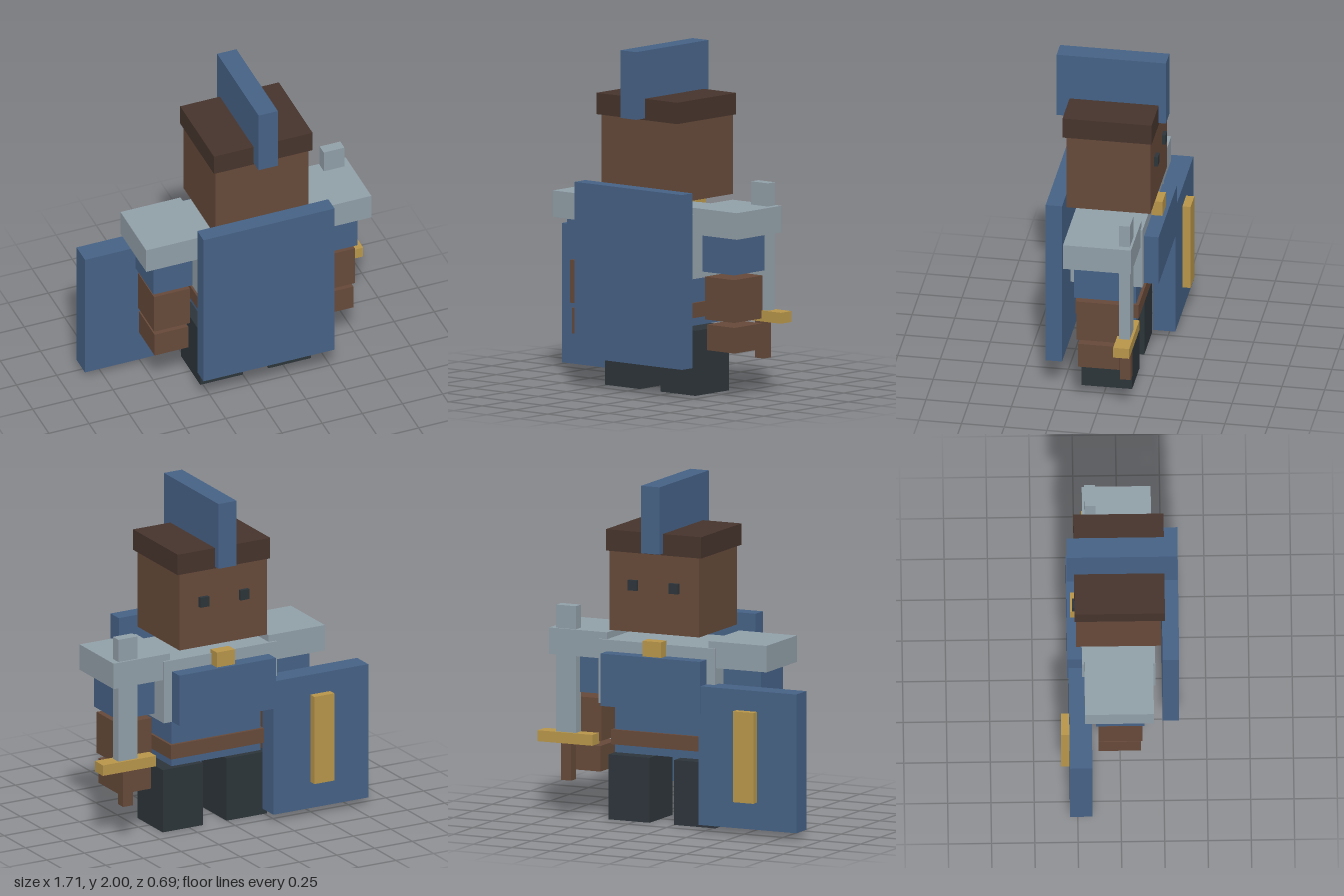
import * as THREE from 'three';

const mat = (name, color) => {
  const m = new THREE.MeshStandardMaterial({ color });
  m.name = name;
  return m;
};

export function createModel() {
  const blue = mat('blue cloth', 0x466286);
  const steel = mat('grey steel', 0x919fa8);
  const brown = mat('brown', 0x664939);
  const darkBrown = mat('dark brown', 0x46342c);
  const dark = mat('charcoal', 0x2d353a);
  const gold = mat('gold', 0xb8964a);

  const model = new THREE.Group();
  model.name = 'blockyKnight';
  const mid = 0.08; // body centreline

  // Box from its x, y and z ranges
  const box = (name, material, [x0, x1], [y0, y1], [z0, z1], parent = model) => {
    const mesh = new THREE.Mesh(new THREE.BoxGeometry(x1 - x0, y1 - y0, z1 - z0), material);
    mesh.position.set((x0 + x1) / 2, (y0 + y1) / 2, (z0 + z1) / 2);
    mesh.name = name;
    parent.add(mesh);
  };
  const group = (name) => {
    const g = new THREE.Group();
    g.name = name;
    model.add(g);
    return g;
  };
  const around = (c, half) => [c - half, c + half];

  // Head, helmet brim and crest
  const head = group('head');
  box('face', brown, around(mid, 0.29), [1.13, 1.6], [-0.25, 0.24], head);
  box('cap', darkBrown, around(mid, 0.307), [1.595, 1.72], [-0.26, 0.262], head);
  box('crest', blue, around(mid, 0.06), [1.605, 2], [-0.302, 0.338], head);
  for (const s of [-1, 1]) {
    box('eye', dark, around(mid + s * 0.133, 0.029), [1.375, 1.435], [-0.272, -0.245], head);
  }

  // Torso, armour and cape
  const torso = group('torso');
  box('tunic', blue, around(mid, 0.295), [0.4, 0.8], [-0.167, 0.167], torso);
  box('belt', brown, around(mid, 0.31), [0.448, 0.535], [-0.185, 0.185], torso);
  box('breastplate', steel, around(mid, 0.375), [0.69, 1.065], [-0.218, 0.205], torso);
  box('chestCloth', blue, around(mid, 0.32), [0.69, 0.997], [-0.303, -0.218], torso);
  box('clasp', gold, around(mid, 0.06), [0.96, 1.088], [-0.282, -0.21], torso);
  box('cape', blue, around(0.083, 0.408), [0.18, 1.2], [0.247, 0.343], torso);

  // Arms and legs
  for (const s of [-1, 1]) {
    const arm = group(s > 0 ? 'leftArm' : 'rightArm');
    const x = mid + s * 0.514;
    box('shoulderPad', steel, around(x, 0.187), [0.95, 1.105], [-0.205, 0.193], arm);
    box('sleeve', blue, around(x, 0.121), [0.73, 0.952], [-0.14, 0.14], arm);
    box('forearm', brown, around(x, 0.111), [0.45, 0.7], [-0.125, 0.127], arm);
    box('hand', brown, around(x, 0.105), [0.27, 0.42], [-0.125, 0.118], arm);
    box('leg', dark, around(mid + s * 0.212, 0.133), [0, 0.38], [-0.152, 0.145]);
  }

  // Sword
  const sword = group('sword');
  box('blade', steel, [0.614, 0.742], [0.49, 1.24], [-0.192, -0.128], sword);
  box('guard', gold, [0.5, 0.853], [0.433, 0.497], [-0.207, -0.113], sword);
  box('grip', brown, [0.645, 0.71], [0.215, 0.44], [-0.192, -0.128], sword);

  // Shield
  const shield = group('shield');
  box('shieldBoard', blue, [-0.858, -0.228], [0.04, 0.853], [-0.295, -0.165], shield);
  box('shieldBar', gold, [-0.605, -0.473], [0.2, 0.732], [-0.343, -0.29], shield);

  return model;
}
